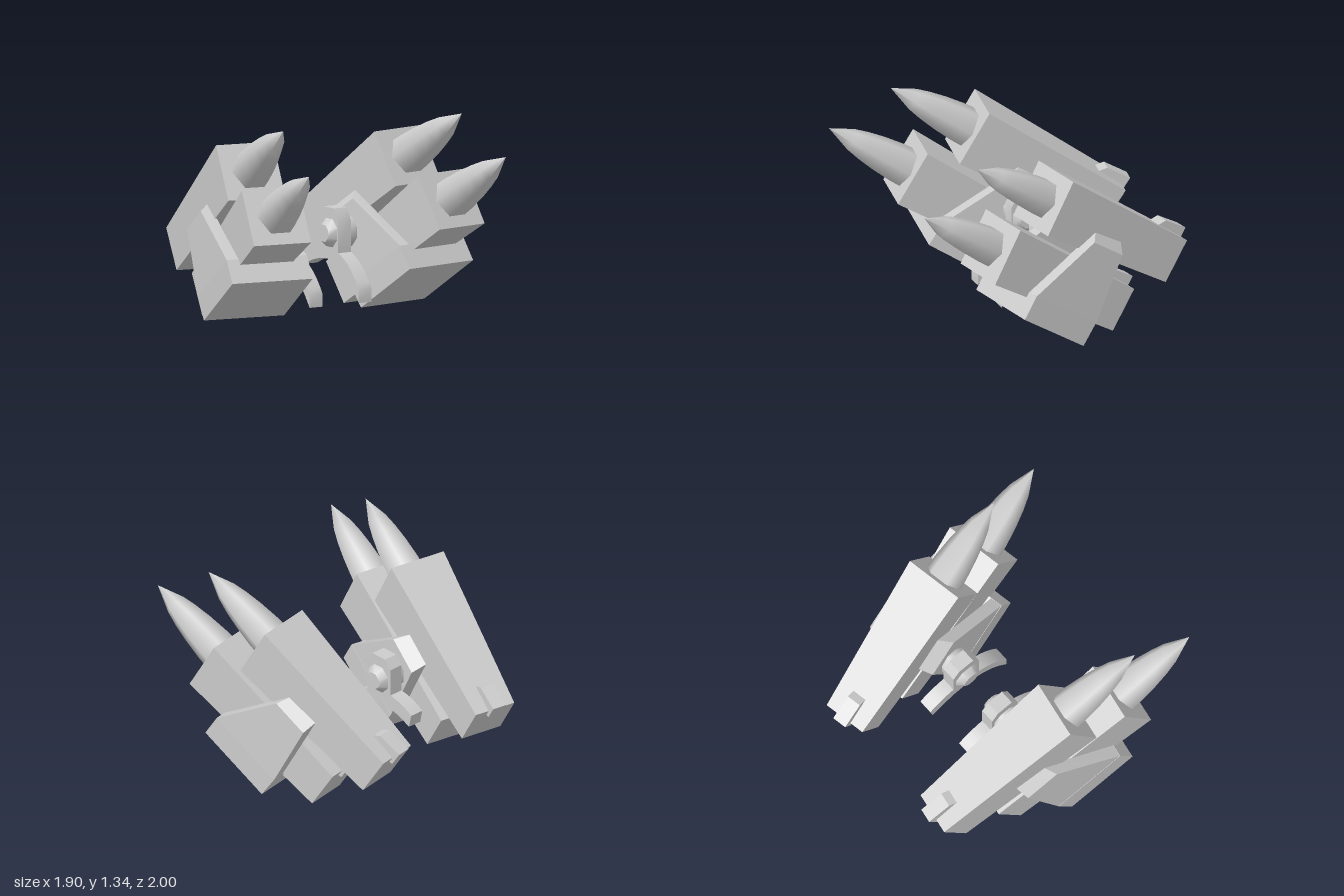
import * as THREE from 'three';
import { ConvexGeometry } from 'three/addons/geometries/ConvexGeometry.js';
import { toCreasedNormals } from 'three/addons/utils/BufferGeometryUtils.js';

const grey = new THREE.MeshStandardMaterial({ color: 0xcccccc });
const YAW = THREE.MathUtils.degToRad(10);
const POD_U = 0.595;      // sideways centre of the launch tubes
const CRADLE_U = 0.585;   // sideways centre of the cradle

function mesh(name, geometry) {
  const m = new THREE.Mesh(geometry, grey);
  m.name = name;
  return m;
}

// Convex solid from corners [sideways, forward, height]
function solid(name, corners, side) {
  return mesh(name, new ConvexGeometry(
    corners.map(([u, h, y]) => new THREE.Vector3(side * u, y, h))));
}

// Side profile of [forward, height, halfWidth] spread evenly about a centre
function slab(name, profile, centre, side) {
  const corners = profile.flatMap(([h, y, w]) => [[centre - w, h, y], [centre + w, h, y]]);
  return solid(name, corners, side);
}

// Tapered launch tube with a rear latch and a six-sided pointed missile
function launcher(name, side) {
  const g = new THREE.Group();
  g.name = name;
  g.add(slab('launchTube', [
    [0.083, 1.18, 0.204], [0.283, 0.84, 0.204],
    [-0.68, 0.245, 0.15], [-0.848, 0.503, 0.15],
  ], POD_U, side));
  g.add(slab('rearLatch', [
    [-0.687, 0.615, 0.05], [-0.75, 0.633, 0.05], [-0.903, 0.543, 0.05],
    [-0.845, 0.455, 0.05], [-0.75, 0.48, 0.05],
  ], POD_U, side));

  const profile = [[0.137, -0.03], [0.132, 0.08], [0.117, 0.22], [0.097, 0.34], [0.073, 0.44], [0, 0.615]];
  const missile = mesh('missile', new THREE.LatheGeometry(
    profile.map(([r, l]) => new THREE.Vector2(r, l)), 6, Math.PI / 2));
  missile.rotation.x = THREE.MathUtils.degToRad(57.2);
  missile.position.set(side * (POD_U - 0.004), 1.012, 0.183);
  g.add(missile);
  return g;
}

// Base block with a leaning, bevelled plate on each flank
function cradle(side) {
  const g = new THREE.Group();
  g.name = 'cradle';
  g.add(slab('cradleBase', [
    [0.42, 0.47, 0.287], [0.514, 0.325, 0.287], [0.052, 0.02, 0.287], [-0.05, 0.165, 0.287],
  ], CRADLE_U, side));
  for (const flank of [-1, 1]) {
    const plate = [
      // outer face
      [0.265, -0.05, 0.73], [0.265, -0.27, 0.583], [0.285, -0.05, 0.165], [0.285, 0.42, 0.468],
      // inner face
      [0.181, -0.115, 0.77], [0.181, -0.312, 0.64], [0.2, -0.05, 0.165], [0.2, 0.42, 0.468],
    ].map(([d, h, y]) => [CRADLE_U + flank * d, h, y]);
    g.add(solid(flank > 0 ? 'outerPlate' : 'innerPlate', plate, side));
  }
  return g;
}

// Arched arm with an upright tab, in the forward/height plane
function bracketArm(side) {
  const s = new THREE.Shape();
  s.moveTo(0.21, 0.09);
  s.lineTo(0.21, 0.18);
  s.quadraticCurveTo(0.11, 0.34, -0.03, 0.39);
  s.lineTo(-0.03, 0.6);
  s.lineTo(-0.08, 0.68);
  s.lineTo(-0.2, 0.68);
  s.lineTo(-0.25, 0.62);
  s.lineTo(-0.25, 0.43);
  s.quadraticCurveTo(-0.36, 0.42, -0.45, 0.36);
  s.lineTo(-0.43, 0.27);
  s.quadraticCurveTo(-0.03, 0.47, 0.21, 0.09);
  const geo = new THREE.ExtrudeGeometry(s, { depth: 0.1, bevelEnabled: false, curveSegments: 8 });
  geo.translate(0, 0, -0.05);
  geo.rotateY(-Math.PI / 2);
  const arm = mesh('bracketArm', toCreasedNormals(geo, 0.6));
  arm.position.x = side * 0.193;
  return arm;
}

// Barrel-shaped axle joining arm and cradle
function axle(side) {
  const profile = [[0, -0.112], [0.06, -0.112], [0.105, -0.06], [0.105, 0.085], [0.065, 0.115], [0, 0.115]];
  const geo = new THREE.LatheGeometry(
    profile.map(([r, l]) => new THREE.Vector2(r, l)), 8, Math.PI / 8);
  const a = mesh('axle', toCreasedNormals(geo, 0.82));
  a.rotation.z = -side * Math.PI / 2;
  a.position.set(side * 0.208, 0.513, -0.135);
  return a;
}

function launcherUnit(side) {
  const unit = new THREE.Group();
  unit.name = side > 0 ? 'leftUnit' : 'rightUnit';

  const splayed = new THREE.Group();
  splayed.name = 'splayedLaunchers';
  splayed.rotation.y = side * YAW;
  const lower = launcher('lowerLauncher', side);
  lower.position.set(0, -0.244, 0.416);
  splayed.add(launcher('upperLauncher', side), lower, cradle(side));

  unit.add(splayed, bracketArm(side), axle(side));
  return unit;
}

export function createModel() {
  const model = new THREE.Group();
  model.name = 'twinMissileLaunchers';
  for (const side of [1, -1]) model.add(launcherUnit(side));
  return model;
}
